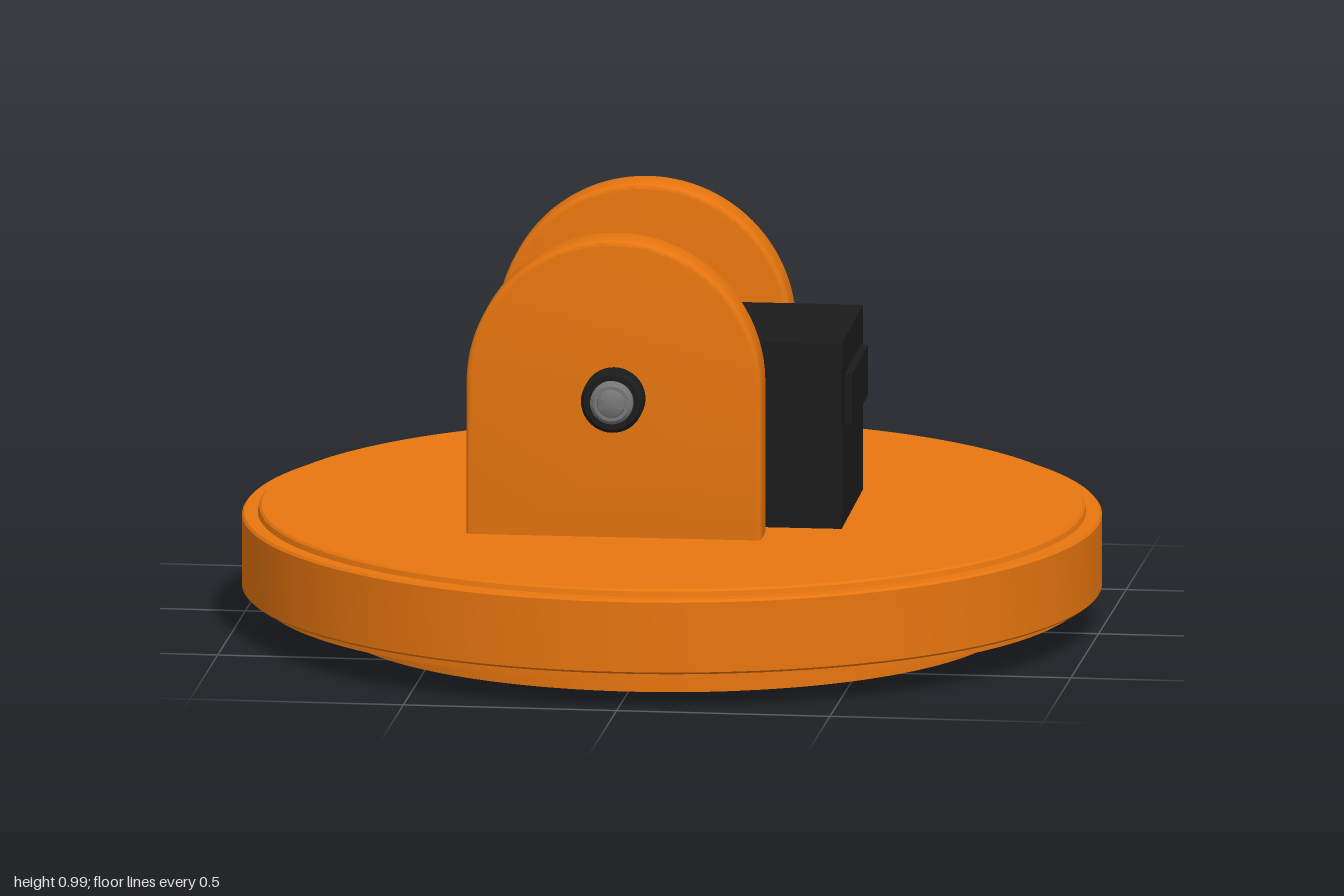
import * as THREE from 'three';
import { toCreasedNormals } from 'three/addons/utils/BufferGeometryUtils.js';

const orange = new THREE.MeshStandardMaterial({ color: 0xe8760f });
const black = new THREE.MeshStandardMaterial({ color: 0x1c1c1c });
const steel = new THREE.MeshStandardMaterial({ color: 0x777777 });

function add(parent, name, geometry, material, x = 0, y = 0, z = 0) {
  const mesh = new THREE.Mesh(geometry, material);
  mesh.name = name;
  mesh.position.set(x, y, z);
  parent.add(mesh);
  return mesh;
}

// Turned solid with sharp edges between its straight runs
function turned(profile, segments) {
  const points = profile.map(([r, y]) => new THREE.Vector2(r, y));
  return toCreasedNormals(new THREE.LatheGeometry(points, segments), 0.5);
}

// Upright plate with a half-round top, centred on its thickness
function archPlate(width, base, top, depth, bevel) {
  const r = width / 2 - bevel;
  const spring = top - width / 2;
  const shape = new THREE.Shape();
  shape.moveTo(-r, base);
  shape.lineTo(r, base);
  shape.lineTo(r, spring);
  shape.absarc(0, spring, r, 0, Math.PI, false);
  shape.lineTo(-r, base);
  const geometry = new THREE.ExtrudeGeometry(shape, {
    depth: depth - 2 * bevel, bevelEnabled: true, bevelSize: bevel,
    bevelThickness: bevel, bevelSegments: 3, curveSegments: 40,
  });
  geometry.translate(0, 0, bevel - depth / 2);
  return toCreasedNormals(geometry, 0.6);
}

// Bolt along local +y: black collar with a domed steel head in it
function makeBolt(name, collar) {
  const bolt = new THREE.Group();
  bolt.name = name;
  add(bolt, 'boltCollar', turned([
    [0, -0.02], [0.073, -0.02], [0.073, collar - 0.008], [0.065, collar],
    [0.052, collar], [0.052, collar - 0.012], [0, collar - 0.012],
  ], 40), black);
  add(bolt, 'boltHead', turned([
    [0.05, collar - 0.012], [0.05, collar + 0.006], [0.042, collar + 0.013],
    [0.033, collar + 0.013], [0.031, collar + 0.018],
    [0.02, collar + 0.023], [0, collar + 0.025],
  ], 40), steel);
  return bolt;
}

export function createModel() {
  const model = new THREE.Group();
  model.name = 'turntableMount';

  // Round base: stepped rim, recessed underside and a foot disc
  add(model, 'base', turned([
    [0, 0], [0.785, 0], [0.785, 0.14], [0.945, 0.14], [0.945, 0.065],
    [0.96, 0.065], [0.96, 0.087], [0.995, 0.087], [1, 0.092],
    [1, 0.258], [0.995, 0.264], [0.963, 0.264], [0.96, 0.276],
    [0.955, 0.281], [0, 0.281],
  ], 128), orange);

  // Everything on top is turned slightly on the base
  const mount = new THREE.Group();
  mount.name = 'mount';
  mount.rotation.y = 0.018;
  model.add(mount);

  // Central housing with a raised panel on its end
  add(mount, 'housing', new THREE.BoxGeometry(0.811, 0.45, 0.445), black, 0.0175, 0.495, 0.012);
  add(mount, 'endPanel', new THREE.BoxGeometry(0.03, 0.12, 0.33), black, 0.425, 0.575, 0);

  // Two arched side plates, each with a bolt facing outwards
  const plate = archPlate(0.69, 0.26, 0.985, 0.104, 0.012);
  const sides = [
    { name: 'front', z: 0.333, dir: 1, collar: 0.055 },
    { name: 'back', z: -0.31, dir: -1, collar: 0.033 },
  ];
  for (const { name, z, dir, collar } of sides) {
    add(mount, name + 'SidePlate', plate, orange, -0.094, 0, z);
    const bolt = makeBolt(name + 'Bolt', collar);
    bolt.rotation.x = dir * Math.PI / 2;
    bolt.position.set(-0.092, 0.612, z + dir * 0.052);
    mount.add(bolt);
  }
  return model;
}
